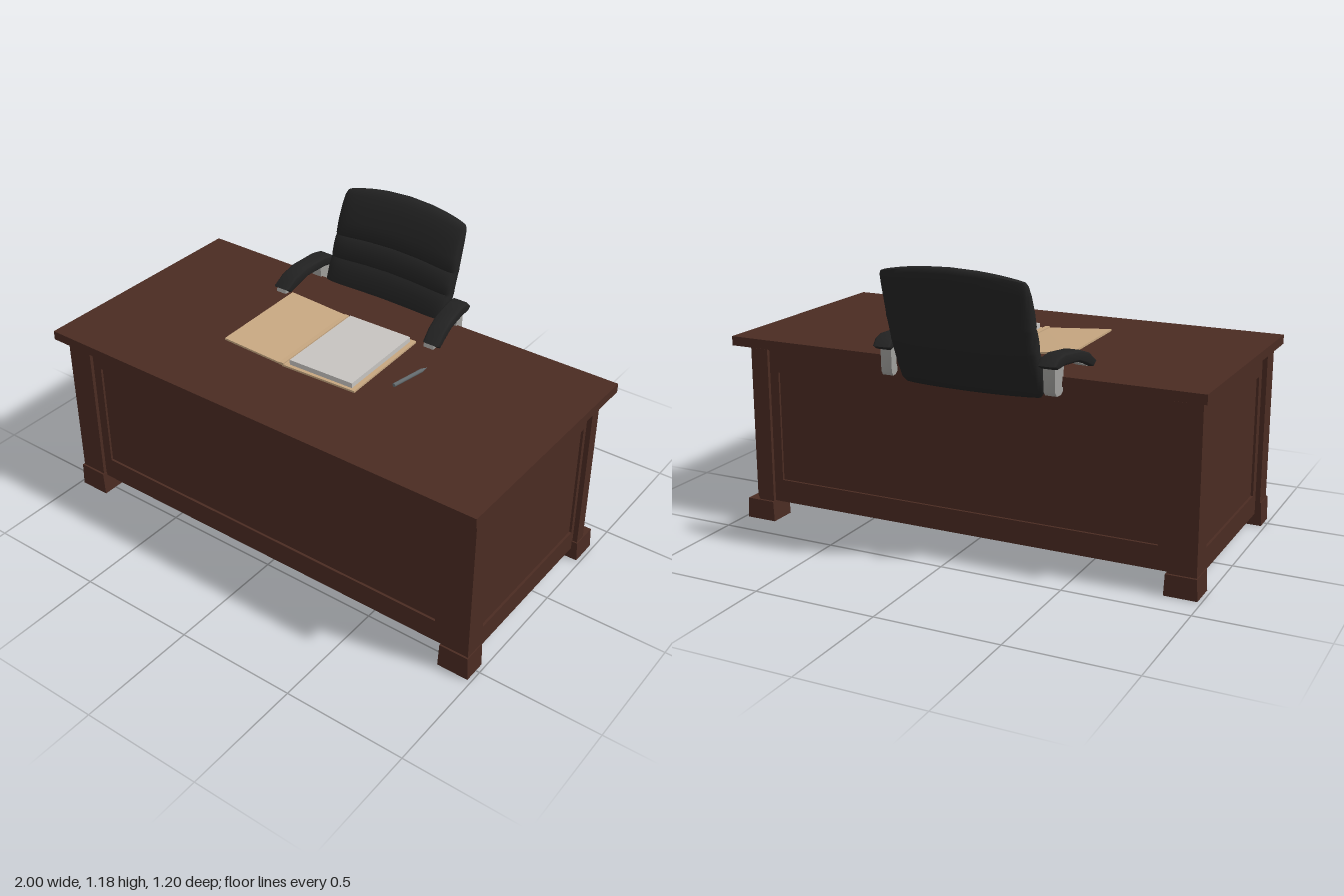
import * as THREE from 'three';
import { toCreasedNormals } from 'three/addons/utils/BufferGeometryUtils.js';

const mat = (name, color, extra = {}) => {
  const m = new THREE.MeshStandardMaterial({ color, ...extra });
  m.name = name;
  return m;
};

export function createModel() {
  const wood = mat('brown wood', 0x4a2b22);
  const leather = mat('black leather', 0x222222);
  const metal = mat('grey metal', 0xa09f9c);
  const tan = mat('tan card', 0xc6a680);
  const paper = mat('paper', 0xc6c3c0);
  const penGrey = mat('pen grey', 0x62696c);

  const model = new THREE.Group();
  model.name = 'deskAndChair';
  const group = (name) => {
    const g = new THREE.Group();
    g.name = name;
    model.add(g);
    return g;
  };
  const add = (parent, name, geo, m) => {
    const mesh = new THREE.Mesh(geo, m);
    mesh.name = name;
    parent.add(mesh);
    return mesh;
  };
  // Box given by its limits on each axis
  const box = (parent, name, m, [x0, x1], [y0, y1], [z0, z1]) => {
    const mesh = add(parent, name, new THREE.BoxGeometry(x1 - x0, y1 - y0, z1 - z0), m);
    mesh.position.set((x0 + x1) / 2, (y0 + y1) / 2, (z0 + z1) / 2);
    return mesh;
  };
  const polygon = (pts) => new THREE.Shape(pts.map(([x, y]) => new THREE.Vector2(x, y)));

  // ---- Desk ----
  const desk = group('desk');
  box(desk, 'deskTop', wood, [-1, 1], [0.747, 0.785], [-0.41, 0.6]);
  box(desk, 'deskBody', wood, [-0.945, 0.945], [0.085, 0.735], [-0.345, 0.525]);

  // Raised frame around a sunken panel; outer and inner are [u0, u1, v0, v1]
  const frame = (name, o, i, angle, offset) => {
    const rect = ([a, b, c, d]) => [[a, c], [b, c], [b, d], [a, d]];
    const s = polygon(rect(o));
    s.holes.push(new THREE.Path(rect(i).reverse().map(([x, y]) => new THREE.Vector2(x, y))));
    const geo = new THREE.ExtrudeGeometry(s, { depth: 0.012, bevelEnabled: false });
    geo.translate(0, 0, offset).rotateY(angle);
    add(desk, name, geo, wood);
  };
  frame('frontFrame', [-0.87, 0.87, 0.085, 0.735], [-0.82, 0.82, 0.18, 0.64], 0, 0.523);
  frame('backFrame', [-0.87, 0.87, 0.085, 0.735], [-0.82, 0.82, 0.18, 0.64], Math.PI, 0.343);
  frame('leftFrame', [-0.47, 0.28, 0.05, 0.735], [-0.42, 0.25, 0.14, 0.645], Math.PI / 2, 0.943);
  frame('rightFrame', [-0.28, 0.47, 0.05, 0.735], [-0.25, 0.42, 0.14, 0.645], -Math.PI / 2, 0.943);

  // Corner posts on block feet with sloping shoulders
  for (const sx of [-1, 1]) {
    for (const [end, z0, z1, h] of [['front', 0.46, 0.55, 0.09], ['back', -0.37, -0.27, 0.075]]) {
      const xs = sx > 0 ? [0.86, 0.975] : [-0.975, -0.86];
      const fx = sx > 0 ? [0.853, 0.984] : [-0.984, -0.853];
      const fz = end === 'front' ? [z0, z1 + 0.008] : [z0 - 0.01, z1 + 0.006];
      if (sx > 0 && end === 'back') {
        // This post has a worn outer corner
        const plan = polygon([[0.86, 0.27], [0.975, 0.27], [0.975, 0.32], [0.93, 0.37], [0.86, 0.37]]);
        const geo = new THREE.ExtrudeGeometry(plan, { depth: 0.735 - h, bevelEnabled: false });
        add(desk, 'backPost', geo.rotateX(-Math.PI / 2).translate(0, h, 0), wood);
      } else {
        box(desk, end + 'Post', wood, xs, [h, 0.735], [z0, z1]);
      }
      const foot = box(desk, end + 'Foot', wood, fx, [0, h + 0.01], fz);
      const p = foot.geometry.attributes.position;
      for (let i = 0; i < p.count; i++) if (p.getY(i) > 0) p.setX(i, p.getX(i) * 0.93);
      foot.geometry.computeVertexNormals();
    }
  }

  // ---- Chair ----
  const chair = group('chair');
  const CX = -0.09;

  // Padded back: rounded sections [y, front z, back z, half width], dips make the seams
  const rows = [
    [0.69, -0.415, -0.425, 0.25], [0.695, -0.405, -0.44, 0.28], [0.715, -0.4, -0.455, 0.295],
    [0.78, -0.403, -0.492, 0.3], [0.85, -0.42, -0.525, 0.3], [0.88, -0.438, -0.535, 0.3],
    [0.89, -0.447, -0.538, 0.3], [0.9, -0.443, -0.541, 0.3], [0.94, -0.452, -0.555, 0.3],
    [0.975, -0.468, -0.565, 0.3], [0.985, -0.48, -0.567, 0.3], [0.995, -0.475, -0.57, 0.3],
    [1.05, -0.491, -0.583, 0.3], [1.12, -0.524, -0.597, 0.299], [1.16, -0.549, -0.604, 0.296],
    [1.176, -0.565, -0.602, 0.29], [1.182, -0.578, -0.595, 0.275],
  ];
  const N = 40;
  const pos = [], idx = [];
  const soft = (v, e) => Math.sign(v) * Math.pow(Math.abs(v), e);
  rows.forEach(([y, zf, zb, hw]) => {
    for (let k = 0; k < N; k++) {
      const a = (k / N) * Math.PI * 2;
      const u = soft(Math.cos(a), 0.5);
      const z = (zf + zb) / 2 + ((zf - zb) / 2) * soft(Math.sin(a), 0.55) + 0.022 * u * u;
      const droop = 0.03 * u * u * Math.max(0, (y - 0.7) / 0.48);
      pos.push(CX + hw * u, y - droop, z);
    }
  });
  for (let r = 0; r < rows.length - 1; r++) {
    for (let k = 0; k < N; k++) {
      const a = r * N + k, b = r * N + (k + 1) % N;
      idx.push(a, a + N, b, b, a + N, b + N);
    }
  }
  // Close both ends with strips from front to back
  const last = (rows.length - 1) * N;
  for (let k = 0; k < N / 2; k++) {
    const f0 = k, f1 = k + 1, b0 = (N - k) % N, b1 = N - k - 1;
    idx.push(f0, f1, b0, b0, f1, b1);
    idx.push(last + f0, last + b0, last + f1, last + b0, last + b1, last + f1);
  }
  const backGeo = new THREE.BufferGeometry();
  backGeo.setAttribute('position', new THREE.Float32BufferAttribute(pos, 3));
  backGeo.setIndex(idx);
  add(chair, 'chairBack', toCreasedNormals(backGeo, 0.9), leather);

  // Armrest parts: side outlines in (-z, y), extruded across and splayed outwards
  const padLine = [[0.205, 0.803], [0.25, 0.836], [0.31, 0.857], [0.42, 0.866], [0.465, 0.858], [0.485, 0.84],
    [0.47, 0.832], [0.42, 0.838], [0.32, 0.832], [0.265, 0.812], [0.22, 0.792]];
  const railLine = [[0.19, 0.785], [0.195, 0.803], [0.215, 0.807], [0.27, 0.822], [0.32, 0.838], [0.4, 0.843], [0.405, 0.725],
    [0.43, 0.715], [0.458, 0.73], [0.465, 0.84], [0.44, 0.85], [0.39, 0.85], [0.39, 0.825], [0.32, 0.825], [0.27, 0.806], [0.215, 0.786]];
  // Rail outline as a thin strip joined to the upright bracket
  const strip = [[0.19, 0.787], [0.225, 0.785], [0.27, 0.803], [0.32, 0.824], [0.4, 0.831], [0.403, 0.73],
    [0.42, 0.718], [0.445, 0.718], [0.458, 0.735], [0.463, 0.842], [0.4, 0.846], [0.32, 0.84], [0.26, 0.818], [0.195, 0.803]];
  const arm = (name, line, width, bevel, inset, s, m) => {
    let geo = new THREE.ExtrudeGeometry(polygon(line), {
      depth: width - 2 * bevel, bevelEnabled: bevel > 0, bevelSize: bevel * 0.8, bevelThickness: bevel, bevelSegments: 3,
    });
    geo.translate(0, 0, bevel - width / 2).rotateY(Math.PI / 2);
    const p = geo.attributes.position;
    for (let i = 0; i < p.count; i++) {
      p.setX(i, p.getX(i) + CX + s * (0.377 - inset + 0.13 * (p.getZ(i) + 0.2)));
    }
    geo = toCreasedNormals(geo, 0.8);
    add(chair, name, geo, m);
  };
  for (const s of [-1, 1]) {
    arm('armPad', padLine, 0.074, 0.01, 0, s, leather);
    arm('armBracket', strip, 0.046, 0, 0.006, s, metal);
  }

  // ---- Open folder ----
  const folder = group('folder');
  const card = (name, pts, y, thick, m) => {
    const geo = new THREE.ExtrudeGeometry(polygon(pts.map(([x, z]) => [x, -z])), { depth: thick, bevelEnabled: false });
    return add(folder, name, geo.rotateX(-Math.PI / 2).translate(0, y, 0), m);
  };
  card('folderRightCover', [[-0.115, -0.185], [-0.1, 0.255], [0.236, 0.24], [0.222, -0.195]], 0.786, 0.008, tan);
  const flap = card('folderLeftCover', [[-0.392, -0.182], [-0.38, 0.264], [-0.085, 0.252], [-0.1, -0.19]], 0.787, 0.008, tan);
  // Left cover rises towards its free edge
  const fp = flap.geometry.attributes.position;
  for (let i = 0; i < fp.count; i++) fp.setY(i, fp.getY(i) + Math.max(0, -0.1 - fp.getX(i)) * 0.07);
  flap.geometry.computeVertexNormals();
  card('folderSpine', [[-0.125, -0.187], [-0.112, 0.256], [-0.092, 0.255], [-0.105, -0.188]], 0.79, 0.011, tan);
  card('paperStack', [[-0.085, -0.172], [-0.074, 0.238], [0.216, 0.228], [0.204, -0.178]], 0.793, 0.022, paper);

  // ---- Pen ----
  const pen = group('pen');
  const barrel = add(pen, 'penBarrel', new THREE.CylinderGeometry(0.008, 0.008, 0.15, 12), penGrey);
  barrel.position.y = 0.01;
  const tip = add(pen, 'penTip', new THREE.ConeGeometry(0.008, 0.03, 12), penGrey);
  tip.position.y = 0.1;
  pen.rotation.set(-Math.PI / 2, 0, -0.18);
  pen.position.set(0.342, 0.793, 0.052);

  return model;
}
